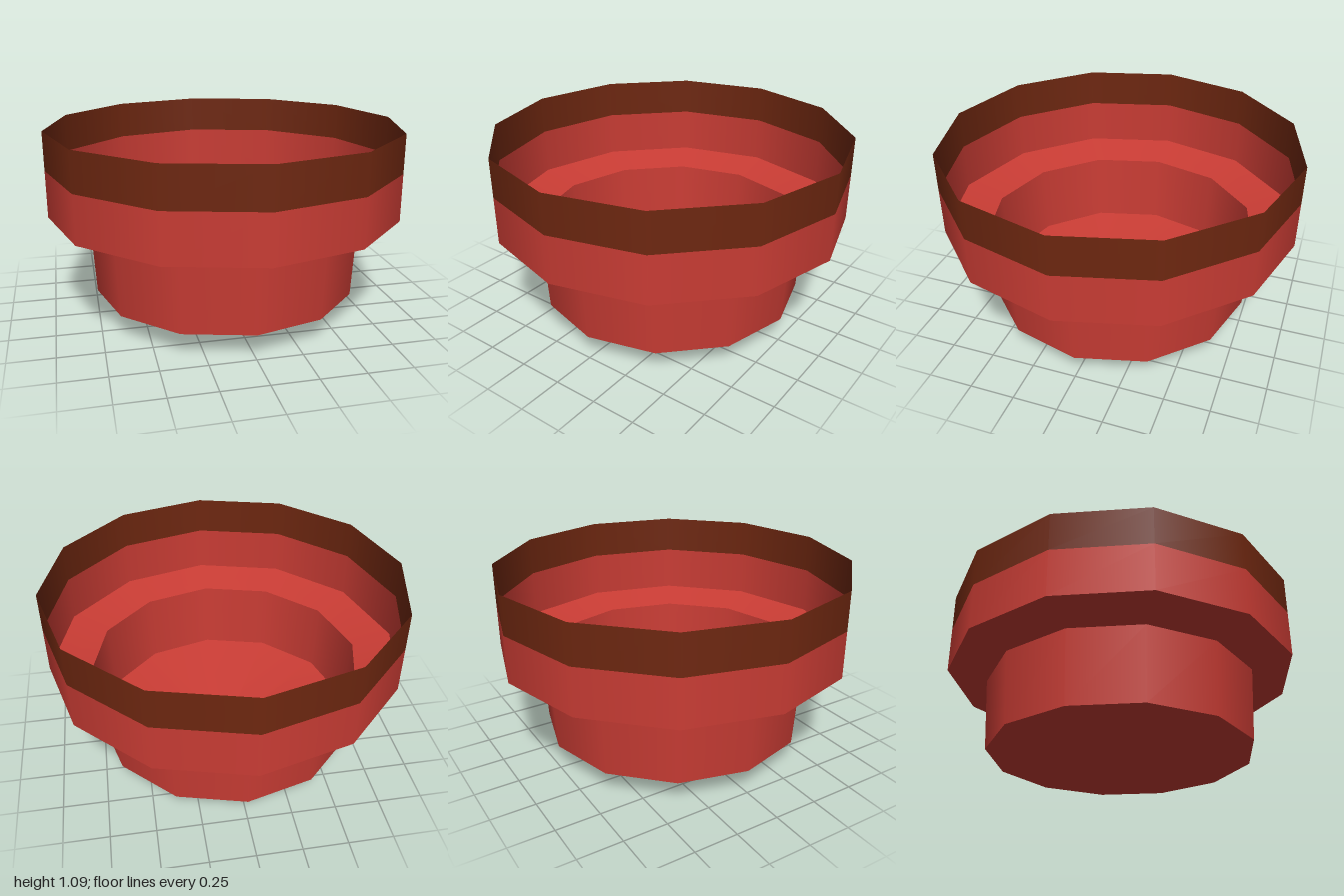
import * as THREE from 'three';

const SIDES = 12;

export function createModel() {
  const group = new THREE.Group();
  group.name = 'pot';

  // Thin open shell, seen from inside and outside
  const clay = new THREE.MeshStandardMaterial({ color: 0xc93c34, side: THREE.DoubleSide });
  clay.name = 'red clay';
  const brown = new THREE.MeshStandardMaterial({ color: 0x6e2710, side: THREE.DoubleSide });
  brown.name = 'dark brown';

  // One ring of the shell between two heights
  function band(name, topRadius, topY, bottomRadius, bottomY, material) {
    const geometry = new THREE.CylinderGeometry(
      topRadius, bottomRadius, topY - bottomY, SIDES, 1, true);
    const mesh = new THREE.Mesh(geometry, material);
    mesh.name = name;
    mesh.position.y = (topY + bottomY) / 2;
    group.add(mesh);
  }

  band('rimBand', 1, 1.085, 1, 0.867, brown);
  band('collar', 1, 0.867, 1, 0.602, clay);
  band('ledge', 1, 0.602, 0.775, 0.55, clay);
  band('body', 0.775, 0.55, 0.753, 0.14, clay);
  band('pointedBase', 0.753, 0.14, 0, 0, clay);

  return group;
}
